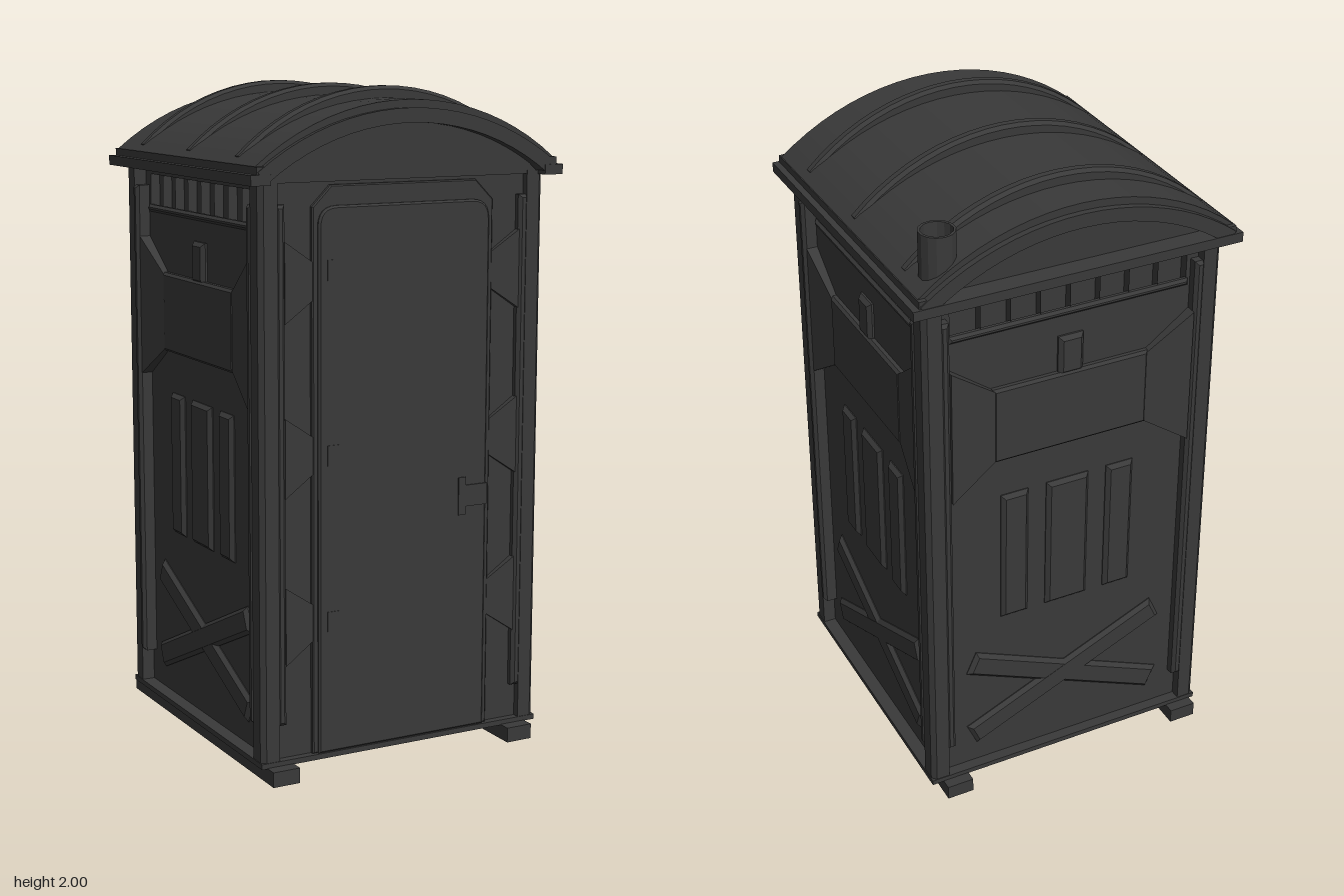
import * as THREE from 'three';

const material = new THREE.MeshStandardMaterial({ color: 0x393939, flatShading: true });
const thinMaterial = material.clone();
thinMaterial.side = THREE.DoubleSide;
const EDGE = 0.474; // outer surface of the corner rods

function add(parent, name, geometry, x = 0, y = 0, z = 0, mat = material) {
  const mesh = new THREE.Mesh(geometry, mat);
  mesh.name = name;
  mesh.position.set(x, y, z);
  parent.add(mesh);
  return mesh;
}

// box given by its limits on each axis
function box(parent, name, x0, x1, y0, y1, z0, z1) {
  return add(parent, name, new THREE.BoxGeometry(x1 - x0, y1 - y0, z1 - z0),
    (x0 + x1) / 2, (y0 + y1) / 2, (z0 + z1) / 2);
}

const poly = (pts) => new THREE.Shape(pts.map(([x, y]) => new THREE.Vector2(x, y)));
const rect = (x0, x1, y0, y1) => poly([[x0, y0], [x1, y0], [x1, y1], [x0, y1]]);
const mirror = (pts, s) => poly(pts.map(([x, y]) => [s * x, y]));

// plate rising from a wall (wall surface at z = 0), with sloped edges
function plate(parent, name, shape, height, bevel) {
  const geometry = new THREE.ExtrudeGeometry(shape, {
    depth: height, bevelThickness: bevel, bevelSize: bevel, bevelOffset: -bevel, bevelSegments: 1, curveSegments: 6,
  });
  return add(parent, name, geometry, 0, 0, -bevel);
}

// plate whose height changes from h0 at |x| = x0 to h1 at |x| = x1
function wedge(parent, name, shape, x0, h0, x1, h1) {
  const geometry = new THREE.ExtrudeGeometry(shape, { depth: 1, bevelEnabled: false });
  const p = geometry.attributes.position;
  for (let i = 0; i < p.count; i++) {
    const t = (Math.abs(p.getX(i)) - x0) / (x1 - x0);
    p.setZ(i, p.getZ(i) > 0.5 ? h0 + (h1 - h0) * t : -0.005);
  }
  geometry.computeVertexNormals();
  return add(parent, name, geometry);
}

function extrude(parent, name, shape, z0, z1) {
  const geometry = new THREE.ExtrudeGeometry(shape, { depth: z1 - z0, bevelEnabled: false, curveSegments: 8 });
  return add(parent, name, geometry, 0, 0, z0);
}

// points of a circular arch, from left to right
function archPoints(half, base, top, n = 20) {
  const rise = top - base;
  const r = (half * half + rise * rise) / (2 * rise);
  const a = Math.asin(half / r);
  return Array.from({ length: n + 1 }, (_, i) => {
    const t = -a + (2 * a * i) / n;
    return [r * Math.sin(t), top - r + r * Math.cos(t)];
  });
}
const archBand = (outer, inner) => poly([...archPoints(...outer), ...archPoints(...inner).reverse()]);

// door-shaped outline with rounded upper corners
function doorOutline(half, y0, y1, r, Type = THREE.Shape) {
  const s = new Type();
  s.moveTo(-half, y0);
  s.lineTo(half, y0);
  s.lineTo(half, y1 - r);
  s.quadraticCurveTo(half, y1, half - r, y1);
  s.lineTo(-half + r, y1);
  s.quadraticCurveTo(-half, y1, -half, y1 - r);
  s.closePath();
  return s;
}

// group whose z = 0 plane is a wall surface set back between the corner posts
function wallGroup(name, angle, distance) {
  const face = new THREE.Group();
  face.name = name;
  face.rotation.y = angle;
  face.position.set(Math.sin(angle) * distance, 0, Math.cos(angle) * distance);
  for (const s of [-1, 1]) {
    const outline = [[0.388, 0.165], [0.42, 0.165], [0.42, 1.68], [0.388, 1.68]];
    plate(face, 'cornerRod', mirror(outline, s), EDGE - distance, 0.01);
  }
  return face;
}

// wall with vents, window panel, ribs and cross brace
function ventedWall(name, angle, distance) {
  const face = wallGroup(name, angle, distance);
  const wall = rect(-0.42, 0.42, 0.05, 1.75);
  wall.holes.push(rect(-0.375, 0.375, 1.6, 1.715));
  extrude(face, 'wallPanel', wall, -0.03, 0);
  for (let i = 1; i < 8; i++) {
    const fin = add(face, 'ventFin', new THREE.PlaneGeometry(0.03, 0.115), -0.375 + i * 0.75 / 8, 1.6575, -0.015, thinMaterial);
    fin.rotation.y = Math.PI / 2;
  }
  plate(face, 'ventSill', rect(-0.38, 0.38, 1.598, 1.62), 0.01, 0.008);

  // raised window panel between two flared wings
  plate(face, 'windowPanel', rect(-0.25, 0.25, 1.175, 1.42), 0.02, 0.008);
  plate(face, 'windowTab', rect(-0.04, 0.04, 1.41, 1.535), 0.018, 0.012);
  for (const s of [-1, 1]) {
    const wing = [[0.245, 1.18], [0.388, 1.085], [0.388, 1.52], [0.245, 1.415]];
    wedge(face, 'windowWing', mirror(wing, s), 0.245, 0.018, 0.388, 0.035);
  }
  for (const [a, b] of [[-0.22, -0.13], [-0.07, 0.07], [0.13, 0.22]]) {
    plate(face, 'wallRib', rect(a, b, 0.6, 1.045), 0.015, 0.012);
  }
  for (const s of [-1, 1]) {
    const bar = plate(face, 'crossBrace', rect(-0.35, 0.35, -0.04, 0.04), s > 0 ? 0.015 : 0.0145, 0.012);
    bar.position.y = 0.31;
    bar.rotation.z = s * 0.418;
  }
  return face;
}

function frontWall() {
  const distance = 0.45;
  const face = wallGroup('frontWall', 0, distance);
  extrude(face, 'wallPanel', rect(-0.42, 0.42, 0.05, 1.75), -0.03, 0);

  // two stepped frames around the door
  const surround = poly([[-0.3, 0.06], [0.3, 0.06], [0.3, 1.67], [0.24, 1.73], [-0.24, 1.73], [-0.3, 1.67]]);
  surround.holes.push(doorOutline(0.265, 0.061, 1.655, 0.06, THREE.Path));
  plate(face, 'doorSurround', surround, 0.014, 0.004);
  const frame = doorOutline(0.284, 0.06, 1.672, 0.06);
  frame.holes.push(doorOutline(0.254, 0.061, 1.638, 0.045, THREE.Path));
  plate(face, 'doorFrame', frame, 0.024, 0.006);

  // door leaf with raised panels
  const door = new THREE.Group();
  door.name = 'door';
  door.position.z = 0.008;
  face.add(door);
  extrude(door, 'doorLeaf', doorOutline(0.25, 0.065, 1.635, 0.045), -0.01, 0);
  for (const [a, b] of [[1.44, 1.61], [1.035, 1.415], [0.865, 1.028], [0.58, 0.71], [0.32, 0.555], [0.165, 0.28]]) {
    plate(door, 'doorPanel', rect(-0.217, 0.217, a, b), 0.008, 0.006);
  }
  for (const y of [1.49, 0.955, 0.46]) box(face, 'hinge', -0.257, -0.22, y - 0.03, y + 0.03, 0, 0.026);
  box(face, 'lockPlate', 0.05, 0.19, 0.745, 0.83, 0, 0.022);
  box(face, 'lockHandle', 0.185, 0.21, 0.73, 0.845, 0, 0.028);
  box(face, 'latch', 0.2, 0.284, 0.755, 0.82, 0, 0.028);

  // tapered gussets beside the door
  for (const s of [-1, 1]) {
    for (const y of [1.46, 0.957, 0.46]) {
      const pts = [[0.298, y - 0.055], [0.39, y - 0.117], [0.39, y + 0.117], [0.298, y + 0.055]];
      wedge(face, 'gusset', mirror(pts, s), 0.298, 0.012, 0.39, 0.02);
    }
  }
  return face;
}

function roof() {
  const g = new THREE.Group();
  g.name = 'roof';
  // filled gables under the shell
  extrude(g, 'gable', poly(archPoints(0.455, 1.74, 1.93)), -0.45, 0.47);
  extrude(g, 'roofShell', archBand([0.49, 1.79, 1.965], [0.465, 1.74, 1.9]), -0.49, 0.49);
  for (const [z0, z1] of [[-0.51, -0.47], [0.47, 0.508]]) {
    extrude(g, 'roofLip', archBand([0.49, 1.775, 1.942], [0.465, 1.74, 1.9]), z0, z1);
  }
  for (const s of [-1, 1]) {
    box(g, 'eave', s * 0.482 - 0.031, s * 0.482 + 0.031, 1.738, 1.768, -0.512, 0.51);
    box(g, 'eaveStep', s * 0.473 - 0.02, s * 0.473 + 0.02, 1.765, 1.79, -0.505, 0.505);
  }
  box(g, 'backEave', -0.5, 0.5, 1.738, 1.768, -0.512, -0.43);
  for (const z of [0.328, -0.005, -0.348]) {
    const rib = plate(g, 'roofRib', archBand([0.468, 1.81, 2.0], [0.46, 1.77, 1.93]), 0.02, 0.01);
    rib.position.z = z - 0.01;
  }
  // hollow vent pipe
  const pipe = [[0.053, 0], [0.053, 0.2], [0.045, 0.2], [0.045, 0.04], [0, 0.04]];
  add(g, 'ventPipe', new THREE.LatheGeometry(pipe.map(([r, y]) => new THREE.Vector2(r, y)), 14), 0.403, 1.752, -0.43);
  return g;
}

export function createModel() {
  const model = new THREE.Group();
  model.name = 'portableCabin';

  // skids, floor and core
  for (const x of [-0.412, 0.392]) box(model, 'skid', x - 0.043, x + 0.043, 0, 0.046, -0.508, 0.514);
  box(model, 'floor', -0.472, 0.472, 0.044, 0.06, -0.474, 0.474);
  box(model, 'core', -0.4, 0.4, 0.05, 1.75, -0.41, 0.42);

  // corner posts with a chamfered outer edge
  const section = [[0.413, 0.413], [0.47, 0.413], [0.47, 0.458], [0.456, 0.472], [0.413, 0.472]];
  for (const sx of [-1, 1]) {
    for (const sz of [-1, 1]) {
      const post = extrude(model, 'cornerPost', poly(section.map(([x, z]) => [sx * x, sz * z])), 0, 1.7);
      post.rotation.x = -Math.PI / 2;
      post.position.y = 0.05;
    }
  }

  model.add(frontWall());
  model.add(ventedWall('leftWall', Math.PI / 2, 0.43));
  model.add(ventedWall('rightWall', -Math.PI / 2, 0.43));
  model.add(ventedWall('backWall', Math.PI, 0.44));
  model.add(roof());
  return model;
}
